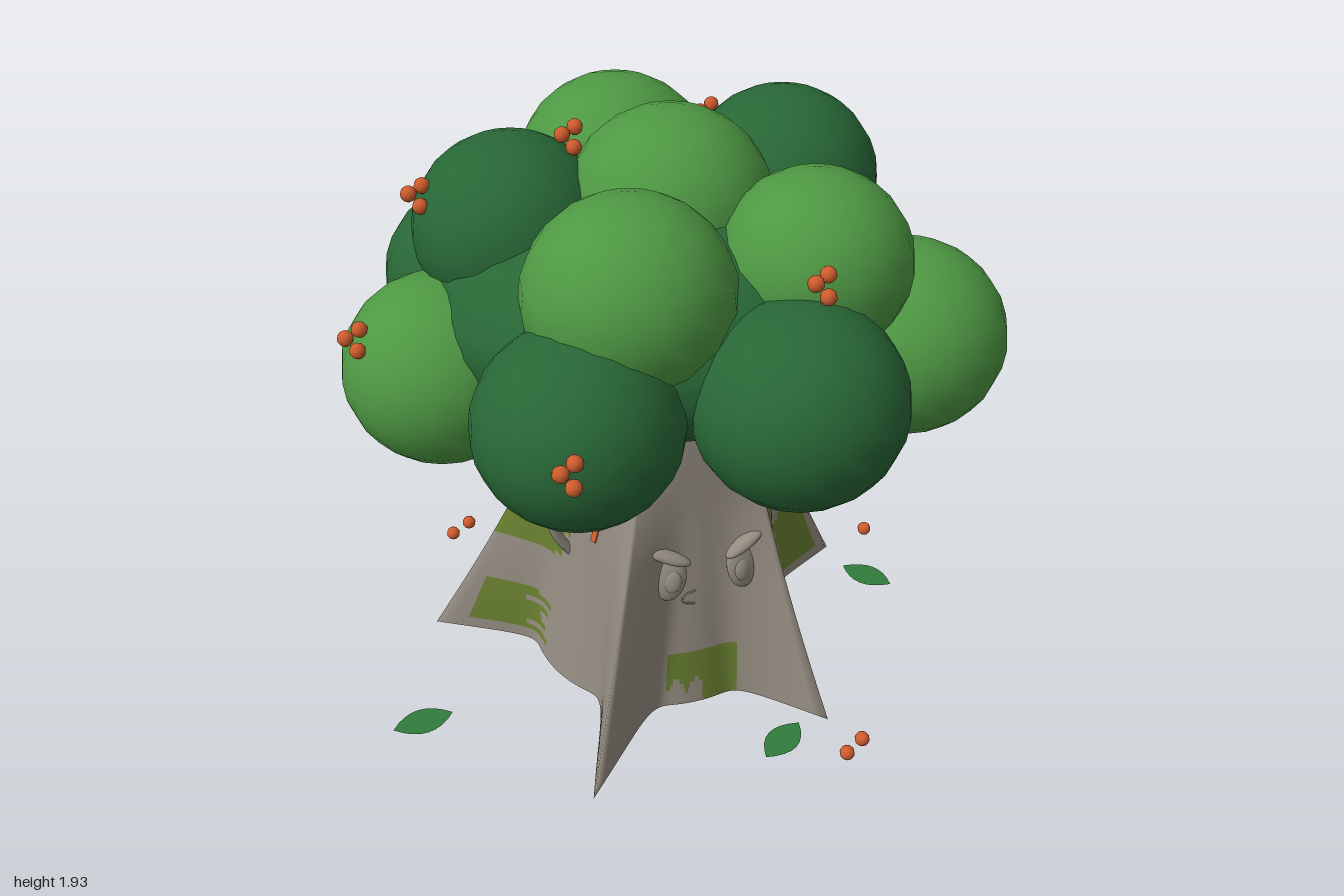
import * as THREE from 'three';

const mat = (name, color, extra = {}) => {
  const m = new THREE.MeshStandardMaterial({ color, ...extra });
  m.name = name;
  return m;
};
const RAD = Math.PI / 180;

// Root directions (degrees from +x towards +z) and reach of each tip
const ROOTS = [[-14, 0.75], [60, 0.74], [122, 0.85], [198, 0.77], [272, 0.65]];
const TOP = 1.3;

// Point on the bark at an angle and height, optionally pushed outwards
function bark(deg, y, off = 0) {
  const t = Math.max(0, 1 - y / 1.1);
  let r = 0.31 + 0.115 * t ** 1.3;
  for (const [dir, reach] of ROOTS) {
    const d = Math.abs(((deg - dir + 540) % 360) - 180) * RAD;
    const k = Math.max(0, 1 - d / (0.38 + 0.22 * (1 - t)));
    r += (reach - 0.425) * t ** 1.3 * k ** (1.8 + 1.8 * t);
  }
  r += off;
  const c = 0.03 * Math.min(1, y);
  return new THREE.Vector3(c + r * Math.cos(deg * RAD), y, c + r * Math.sin(deg * RAD));
}

// Depth of the bark's front at a given x and y
function frontZ(x, y) {
  let best = 0;
  for (let a = 40; a <= 140; a += 0.5) {
    const p = bark(a, y);
    if (Math.abs(p.x - x) < 0.01) best = Math.max(best, p.z);
  }
  return best;
}

// Moss patches: angle range, height range, ragged side, share of the width with a ragged bottom
const MOSS = [
  [72, 105, 0, 0.21, 'bottomFar', 0.5], [15, 57, 0.36, 0.74, 'bottomNear', 0.68],
  [-13, 6, 0.05, 0.32, 'far'], [249, 300, 0.01, 0.39, 'bottomNear', 0.3],
  [172, 196, 0.05, 0.22, 'near'], [164, 178, 0.42, 0.78, 'bottomNear', 0.5],
  [178, 198, 0.4, 0.53, ''], [198, 214, 0.4, 0.76, 'bottomFar', 0.5],
  [307, 312, 0.3, 0.39, ''], [329, 336, 0.43, 0.52, ''], [202, 209, 0.01, 0.1, ''],
];
function isMoss(deg, y) {
  return MOSS.some(([a0, a1, y0, y1, edge, share]) => {
    const u = ((deg - a0 + 720) % 360) / (a1 - a0);
    const v = (y - y0) / (y1 - y0);
    if (u > 1 || v < 0 || v > 1) return false;
    const teeth = (s) => Math.abs(((s * 3.5) % 1) - 0.5) * 2;
    if (edge === 'bottomNear') return u > share || v > 0.22 + 0.22 * teeth(u);
    if (edge === 'bottomFar') return 1 - u > share || v > 0.22 + 0.3 * teeth(u);
    if (edge === 'far') return u < 0.25 + 0.75 * teeth(v);
    if (edge === 'near') return 1 - u < 0.25 + 0.75 * teeth(v);
    return true;
  });
}

function trunkGeometry() {
  const N = 360, M = 64, pos = [], plain = [], moss = [];
  for (let j = 0; j <= M; j++) {
    for (let i = 0; i < N; i++) pos.push(...bark((i * 360) / N, (j / M) * TOP).toArray());
  }
  for (let j = 0; j < M; j++) {
    for (let i = 0; i < N; i++) {
      const a = j * N + i, b = j * N + ((i + 1) % N), c = a + N, d = b + N;
      const list = isMoss(((i + 0.5) * 360) / N, ((j + 0.5) / M) * TOP) ? moss : plain;
      list.push(a, c, b, b, c, d);
    }
  }
  const g = new THREE.BufferGeometry();
  g.setAttribute('position', new THREE.Float32BufferAttribute(pos, 3));
  g.setIndex([...plain, ...moss]);
  g.addGroup(0, plain.length, 0);
  g.addGroup(plain.length, moss.length, 1);
  g.computeVertexNormals();
  return g;
}

function baseGeometry() {
  const N = 360, pos = [0, 0, 0], idx = [];
  for (let i = 0; i < N; i++) {
    pos.push(...bark((i * 360) / N, 0).toArray());
    idx.push(0, i + 1, ((i + 1) % N) + 1);
  }
  const g = new THREE.BufferGeometry();
  g.setAttribute('position', new THREE.Float32BufferAttribute(pos, 3));
  g.setIndex(idx);
  g.computeVertexNormals();
  return g;
}

export function createModel() {
  const root = new THREE.Group();
  root.name = 'tree';
  const M = {
    bark: mat('bark', 0x948c81),
    moss: mat('moss', 0x698030),
    light: mat('light foliage', 0x4e9843),
    dark: mat('dark foliage', 0x286736),
    leaf: mat('leaf', 0x317c3b, { side: THREE.DoubleSide }),
    gold: mat('golden leaf', 0xc09a3a, { side: THREE.DoubleSide }),
    berry: mat('berry', 0xcf5c2d),
    sap: mat('orange scratch', 0xe56535),
  };
  const add = (name, geo, material, p = [0, 0, 0], s = [1, 1, 1], parent = root) => {
    const m = new THREE.Mesh(geo, material);
    m.name = name;
    m.position.set(...p);
    m.scale.set(...s);
    parent.add(m);
    return m;
  };
  const ball = new THREE.SphereGeometry(1, 20, 14);

  // Trunk with thin flared roots
  add('trunk', trunkGeometry(), [M.bark, M.moss]);
  add('trunkBase', baseGeometry(), M.bark);

  // Canopy: core mass plus puffs [x, y, z, radius, colour]
  add('canopyCore', ball, M.dark, [0, 1.37, 0.02], [0.72, 0.36, 0.69]);
  [
    [0.03, 1.63, 0.03, 0.31, 'light'], [0, 1.56, -0.41, 0.31, 'light'],
    [-0.42, 1.57, -0.1, 0.295, 'dark'], [0.46, 1.57, -0.15, 0.3, 'dark'],
    [-0.22, 1.57, 0.41, 0.305, 'light'], [0.34, 1.57, 0.39, 0.285, 'light'],
    [-0.43, 1.18, -0.55, 0.31, 'dark'], [0.2, 1.18, -0.67, 0.325, 'light'],
    [0.67, 1.18, -0.27, 0.3, 'dark'], [0.67, 1.24, 0.35, 0.31, 'light'],
    [0.18, 1.31, 0.69, 0.31, 'dark'], [-0.42, 1.29, 0.57, 0.3, 'dark'],
    [-0.68, 1.21, 0.03, 0.3, 'light'],
  ].forEach(([x, y, z, r, c]) => add('canopyPuff', ball, M[c], [x, y, z], [r, r * 0.96, r]));

  // Berry clusters on the canopy and loose berries on the ground
  const berry = new THREE.SphereGeometry(0.024, 10, 8);
  [
    [-0.53, 1.35, 0.865], [0.235, 1.665, 0.68], [-0.695, 1.715, -0.09], [-0.94, 1.385, 0.09],
    [-0.245, 1.845, -0.06], [0.32, 1.68, -0.445], [0.835, 1.335, -0.045],
  ].forEach((c) => {
    const g = new THREE.Group();
    g.name = 'berryCluster';
    g.position.set(...c);
    root.add(g);
    [[-0.022, 0.01, 0], [0.022, 0.02, -0.02], [0.005, -0.022, 0.025]]
      .forEach((p) => add('berry', berry, M.berry, p, [1, 1, 1], g));
  });
  [[0.35, 0.83], [0.42, 0.79], [0.88, -0.19], [-0.505, -0.7], [-0.575, -0.655]]
    .forEach(([x, z]) => add('groundBerry', berry, M.berry, [x, 0.04, z]));

  // Face: eyes, slanted brows and a small crooked mouth
  for (const [x, s] of [[-0.09, -1], [0.15, 1]]) {
    const y = 0.52, z = frontZ(x, y);
    const eye = new THREE.Group();
    eye.name = 'eye';
    eye.position.set(x, y, z);
    eye.rotation.set(-0.2, s * 0.25, s * 0.12);
    root.add(eye);
    add('eyeball', ball, M.bark, [0, 0, 0], [0.056, 0.085, 0.025], eye);
    add('pupil', ball, M.bark, [-s * 0.012, -0.01, 0.017], [0.028, 0.04, 0.014], eye);
    const brow = add('brow', ball, M.bark, [x + s * 0.006, 0.605, frontZ(x, 0.605) + 0.012], [0.078, 0.02, 0.028]);
    brow.rotation.set(0, s * 0.3, s * 0.38);
  }
  const mouth = [[0, 0.44], [-0.035, 0.43], [-0.045, 0.405], [-0.005, 0.393]]
    .map(([x, y]) => new THREE.Vector3(x, y, frontZ(x, y) + 0.001));
  add('mouth', new THREE.TubeGeometry(new THREE.CatmullRomCurve3(mouth), 14, 0.003, 6), M.bark);

  // Side twigs, each ending in one leaf
  for (const [s, x0, x1, z] of [[1, 0.36, 0.455, 0.075], [-1, 0.32, 0.4, 0.1]]) {
    const path = new THREE.CatmullRomCurve3([
      new THREE.Vector3(s * x0, 0.46, z), new THREE.Vector3(s * (x0 + 0.05), 0.54, z),
      new THREE.Vector3(s * x1, 0.64, z)]);
    add('twig', new THREE.TubeGeometry(path, 10, 0.017, 8), M.bark);
    const l = add('twigLeaf', ball, M.leaf, [s * (x1 + 0.018), 0.69, z], [0.02, 0.085, 0.048]);
    l.rotation.z = -s * 0.53;
  }

  // Thin orange scratches lying on the bark [angle, height, tilt]
  const scratch = new THREE.BoxGeometry(0.019, 0.1, 0.006);
  [[25, 0.82, -0.35], [29, 0.68, -0.35], [-50, 0.57, -0.2], [149, 0.84, -0.3],
    [146, 0.63, -0.2], [156, 0.74, -0.2]].forEach(([a, y, tilt]) => {
    const m = add('scratch', scratch, M.sap, bark(a, y, 0.005).toArray());
    const low = bark(a, y - 0.05), high = bark(a, y + 0.05);
    const slope = Math.hypot(low.x, low.z) - Math.hypot(high.x, high.z);
    m.rotation.set(-Math.atan(slope / 0.1), Math.PI / 2 - a * RAD, tilt, 'YXZ');
  });

  // Fallen leaves [x, z, length, turn, colour]
  const outline = new THREE.Shape();
  outline.moveTo(-0.5, 0);
  outline.quadraticCurveTo(0, 0.55, 0.5, 0);
  outline.quadraticCurveTo(0, -0.55, -0.5, 0);
  const leafGeo = new THREE.ShapeGeometry(outline, 8).rotateX(-Math.PI / 2);
  [[-0.88, 0.24, 0.2, 0.1, 'leaf'], [0.19, 0.69, 0.19, 0.6, 'leaf'], [0.79, 0.03, 0.19, -0.9, 'leaf'],
    [0.63, -0.54, 0.19, -0.9, 'leaf'], [-0.14, -0.72, 0.19, 0.6, 'gold']].forEach(([x, z, len, turn, c]) => {
    const m = add('fallenLeaf', leafGeo, M[c], [x, 0.014, z], [len, 1, len]);
    m.rotation.y = turn;
  });
  return root;
}
